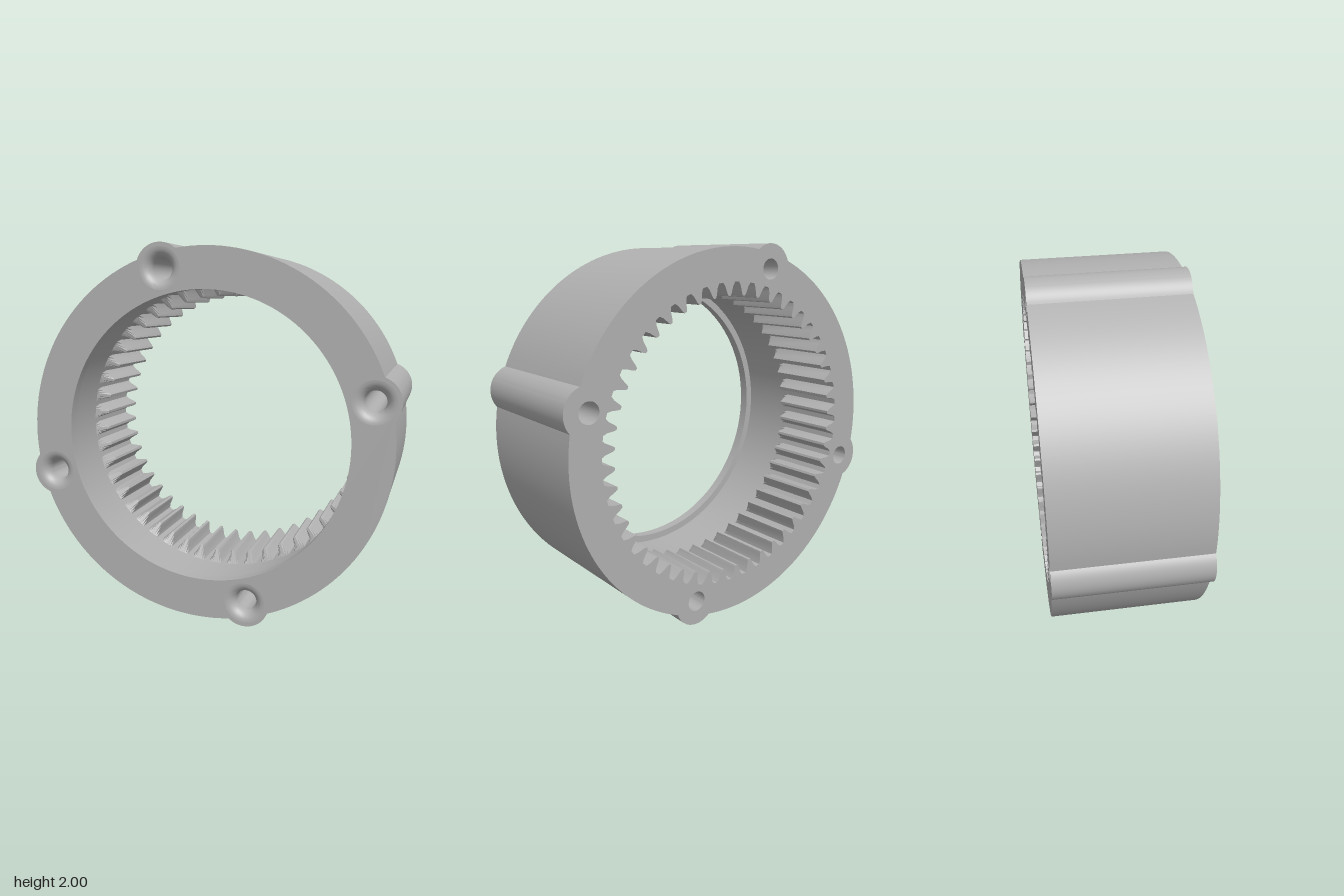
import * as THREE from 'three';
import { toCreasedNormals } from 'three/addons/utils/BufferGeometryUtils.js';

const R = 0.972, LIP = 0.76, BORE = 0.8, TIP = 0.732; // ring radii
const LUG_AT = 0.893, LUG_R = 0.13, HOLE_R = 0.054, FILLET = 0.055;
const F = 0.388, B = -F;                              // front and back planes
const TEETH = 48, QUARTER = Math.PI / 2, LUG_ANGLE = Math.PI / 12;

const polar = (r, a) => new THREE.Vector2(r * Math.cos(a), r * Math.sin(a));

// Ring outline with four rounded lugs, counter-clockwise
function outline() {
  const pts = [];
  const half = Math.acos((LUG_AT ** 2 + R ** 2 - LUG_R ** 2) / (2 * LUG_AT * R));
  for (let k = 0; k < 4; k++) {
    const a = LUG_ANGLE + k * QUARTER;
    for (let i = 0; i < 24; i++) {
      const p = -half + (2 * half * i) / 24;
      const r = LUG_AT * Math.cos(p) + Math.sqrt(LUG_R ** 2 - (LUG_AT * Math.sin(p)) ** 2);
      pts.push(polar(r, a + p));
    }
    for (let i = 0; i < 32; i++) pts.push(polar(R, a + half + ((QUARTER - 2 * half) * i) / 32));
  }
  return pts;
}

// Bore loop: one tooth is [fraction of pitch, fraction of tooth height]
const TOOTH = [[-0.5, 0], [-0.37, 0], [-0.25, 0.3], [-0.14, 0.82], [-0.07, 1],
  [0.07, 1], [0.14, 0.82], [0.25, 0.3], [0.37, 0]];
function boreLoop(radius, height = 0) {
  const pts = [];
  for (let k = 0; k < TEETH; k++)
    for (const [f, h] of TOOTH)
      pts.push(polar(radius - height * h, ((k + 0.5 + f) * 2 * Math.PI) / TEETH));
  return pts;
}

// Round loop about a lug centre
function holeLoop(k, radius) {
  const c = polar(LUG_AT, LUG_ANGLE + k * QUARTER);
  return Array.from({ length: 36 }, (_, i) => polar(radius, (i / 36) * 2 * Math.PI).add(c));
}

// Skin between loops listed front to back; faces inwards unless outward is set
function loft(loops, outward = false) {
  const n = loops[0].pts.length, pos = [], idx = [];
  for (const { pts, z } of loops) for (const p of pts) pos.push(p.x, p.y, z);
  for (let l = 0; l < loops.length - 1; l++)
    for (let i = 0; i < n; i++) {
      const a = l * n + i, b = l * n + ((i + 1) % n), c = a + n, d = b + n;
      if (outward) idx.push(a, c, b, b, c, d);
      else idx.push(a, b, c, b, d, c);
    }
  const g = new THREE.BufferGeometry();
  g.setAttribute('position', new THREE.Float32BufferAttribute(pos, 3));
  g.setIndex(idx);
  return toCreasedNormals(g, 0.6);
}

// Flat end plate with openings
function plate(outer, holes, z, back = false) {
  const shape = new THREE.Shape(outer);
  shape.holes = holes.map((h) => new THREE.Path(h));
  const g = new THREE.ShapeGeometry(shape);
  if (back) g.index.array.reverse();
  g.translate(0, 0, z);
  g.computeVertexNormals();
  return g;
}

export function createModel() {
  const metal = new THREE.MeshStandardMaterial({ color: 0xb0b0b0 });
  metal.name = 'grey metal';
  const ring = new THREE.Group();
  ring.name = 'ringGear';
  const add = (name, geometry) => {
    const m = new THREE.Mesh(geometry, metal);
    m.name = name;
    ring.add(m);
  };
  const lugs = [0, 1, 2, 3];
  const rim = outline();

  // Outer wall and both end faces
  add('outerWall', loft([{ pts: rim, z: F }, { pts: rim, z: B }], true));
  add('frontFace', plate(rim,
    [boreLoop(LIP), ...lugs.map((k) => holeLoop(k, HOLE_R + FILLET))], F));
  add('backFace', plate(rim,
    [boreLoop(BORE, BORE - TIP), ...lugs.map((k) => holeLoop(k, HOLE_R))], B, true));

  // Front lip, its step and the plain chamber
  const lipBack = F - 0.055, teethFront = 0.03;
  add('frontLip', loft([
    { pts: boreLoop(LIP), z: F },
    { pts: boreLoop(LIP), z: lipBack },
    { pts: boreLoop(BORE), z: lipBack },
  ]));
  add('chamber', loft([
    { pts: boreLoop(BORE), z: lipBack },
    { pts: boreLoop(BORE), z: teethFront },
  ]));

  // Internal teeth with a bevelled lead-in
  const toothLoop = boreLoop(BORE, BORE - TIP);
  add('innerTeeth', loft([
    { pts: boreLoop(BORE), z: teethFront },
    { pts: toothLoop, z: teethFront - 0.04 },
    { pts: toothLoop, z: B },
  ]));

  // Screw holes with a rounded flare at the front
  for (const k of lugs) {
    const loops = [];
    for (let i = 0; i <= 8; i++) {
      const t = (i / 8) * QUARTER;
      loops.push({
        pts: holeLoop(k, HOLE_R + FILLET * (1 - Math.sin(t))),
        z: F - FILLET * (1 - Math.cos(t)),
      });
    }
    loops.push({ pts: holeLoop(k, HOLE_R), z: B });
    add('screwHole' + (k + 1), loft(loops));
  }

  // The ring leans very slightly back and to one side
  ring.rotation.set(-0.018, 0.018, 0);
  ring.position.y = 1;
  const model = new THREE.Group();
  model.name = 'internalGear';
  model.add(ring);
  return model;
}
